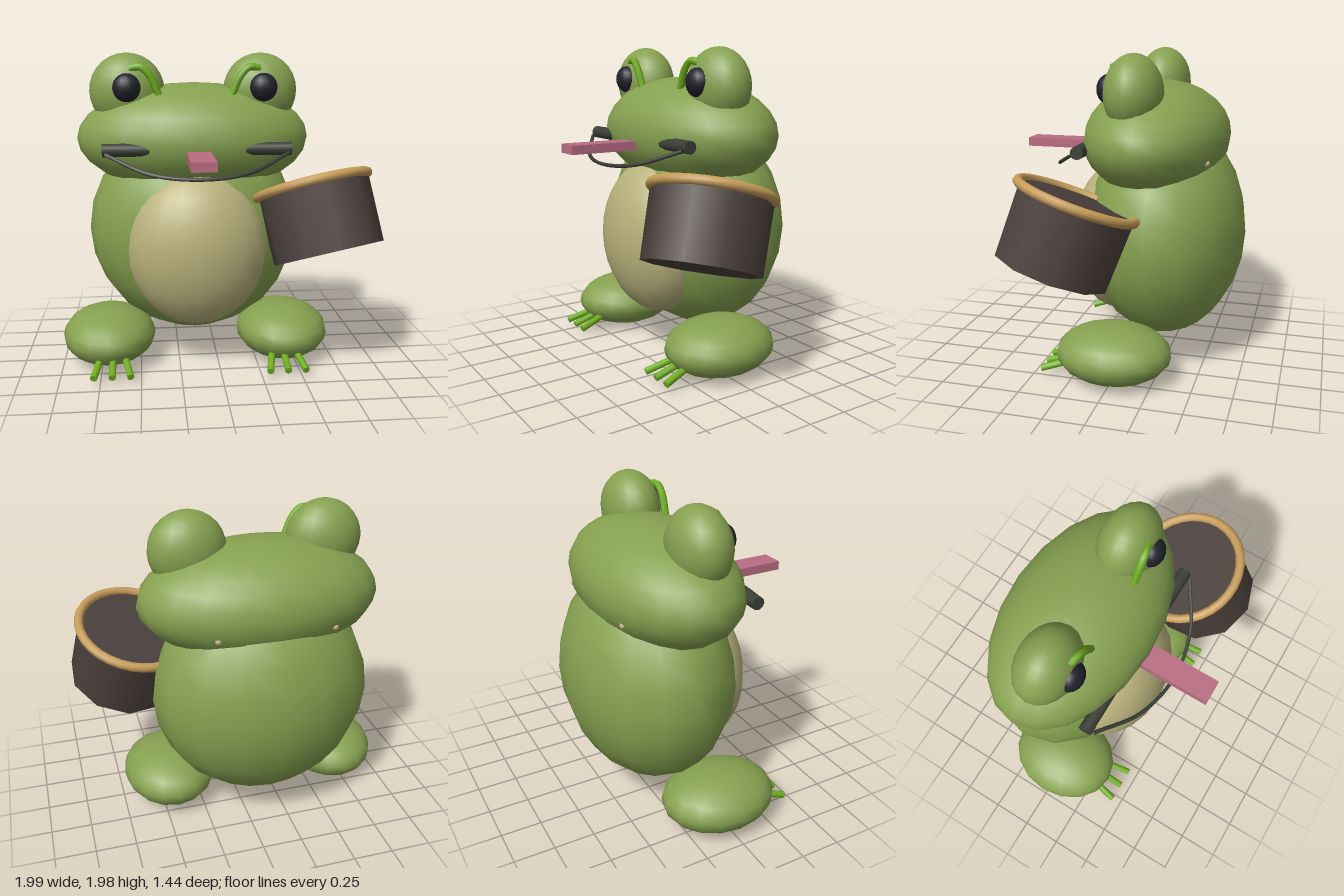
import * as THREE from 'three';

const CX = -0.135; // mirror plane of the frog

const mat = (name, color) => {
  const m = new THREE.MeshStandardMaterial({ color });
  m.name = name;
  return m;
};

export function createModel() {
  const skin = mat('skinGreen', 0x86a150);
  const cream = mat('bellyCream', 0xb9b17c);
  const bright = mat('brightGreen', 0x70b01f);
  const black = mat('eyeBlack', 0x20212b);
  const dark = mat('darkGrey', 0x3b4036);
  const pink = mat('tonguePink', 0xb96c82);
  const brown = mat('drumBrown', 0x4b403c);
  const tan = mat('rimTan', 0xc69c5a);

  const model = new THREE.Group();
  model.name = 'frogWithDrum';
  const V = (x, y, z) => new THREE.Vector3(x, y, z);

  const add = (name, geo, material, parent = model) => {
    const mesh = new THREE.Mesh(geo, material);
    mesh.name = name;
    parent.add(mesh);
    return mesh;
  };
  const ellipsoid = (name, material, [x, y, z], [rx, ry, rz], seg = 16, rows = 12) => {
    const geo = new THREE.SphereGeometry(1, seg, rows).scale(rx, ry, rz);
    const mesh = add(name, geo, material);
    mesh.position.set(x, y, z);
    return mesh;
  };
  // Cylinder running from a to b
  const rod = (name, material, a, b, r0, r1, seg, parent = model) => {
    const dir = b.clone().sub(a);
    const mesh = add(name, new THREE.CylinderGeometry(r1, r0, dir.length(), seg), material, parent);
    mesh.position.copy(a).add(b).multiplyScalar(0.5);
    mesh.quaternion.setFromUnitVectors(V(0, 1, 0), dir.normalize());
    return mesh;
  };

  // Body, belly and head
  ellipsoid('body', skin, [CX, 0.85, -0.21], [0.685, 0.69, 0.51]);
  ellipsoid('belly', cream, [CX, 0.78, 0.1], [0.445, 0.5, 0.31], 20, 16);
  ellipsoid('head', skin, [CX, 1.45, -0.15], [0.745, 0.35, 0.45], 20, 14);

  for (const s of [-1, 1]) {
    const side = s > 0 ? 'left' : 'right';
    const X = (d) => CX + s * d;

    // Eyes
    ellipsoid(side + 'EyeBulge', skin, [X(0.42), 1.75, -0.09], [0.235, 0.235, 0.175], 20, 14);
    ellipsoid(side + 'Pupil', black, [X(0.42), 1.775, 0.06], [0.088, 0.088, 0.07]);

    // Brow curling over the eye
    const brow = new THREE.CatmullRomCurve3([
      V(X(0.4), 1.89, 0.04), V(X(0.335), 1.9, 0.055),
      V(X(0.28), 1.85, 0.06), V(X(0.225), 1.73, 0.055),
    ]);
    add(side + 'Brow', new THREE.TubeGeometry(brow, 12, 0.023, 6), bright);

    // Small beads at the back of the head
    ellipsoid(side + 'Bead', cream, [X(0.35), 1.35, -0.515], [0.02, 0.02, 0.02], 8, 6);

    // Foot with three fanned claws
    ellipsoid(side + 'Foot', skin, [X(0.568), 0.188, -0.005], [0.298, 0.178, 0.358]);
    for (const k of [-1, 0, 1]) {
      rod(side + 'Claw', bright, V(X(0.54 + k * 0.075), 0.12, 0.26),
        V(X(0.54 + k * 0.112), 0.065, 0.44), 0.022, 0.022, 8);
    }
  }

  // Bar through the mouth with a cord hanging from its ends
  rod('mouthBar', dark, V(-0.705, 1.415, 0.215), V(0.435, 1.415, 0.215), 0.04, 0.04, 12);
  const cord = new THREE.CatmullRomCurve3([
    V(CX - 0.55, 1.395, 0.26), V(CX - 0.29, 1.3, 0.42), V(CX, 1.275, 0.475),
    V(CX + 0.29, 1.3, 0.42), V(CX + 0.55, 1.395, 0.26),
  ]);
  add('mouthCord', new THREE.TubeGeometry(cord, 32, 0.012, 6), dark);

  // Tongue
  add('tongue', new THREE.BoxGeometry(0.145, 0.055, 0.6), pink).position.set(CX, 1.383, 0.417);

  // Tilted drum with a rounded rim
  const base = V(0.665, 0.77, 0.3);
  const top = V(0.58, 1.17, 0.165);
  const drum = new THREE.Group();
  drum.name = 'drum';
  model.add(drum);
  rod('drumShell', brown, base, top, 0.345, 0.355, 10, drum);
  const rim = add('drumRim', new THREE.TorusGeometry(0.353, 0.029, 10, 32).rotateX(Math.PI / 2), tan, drum);
  rim.position.copy(top);
  rim.quaternion.setFromUnitVectors(V(0, 1, 0), top.clone().sub(base).normalize());

  return model;
}
